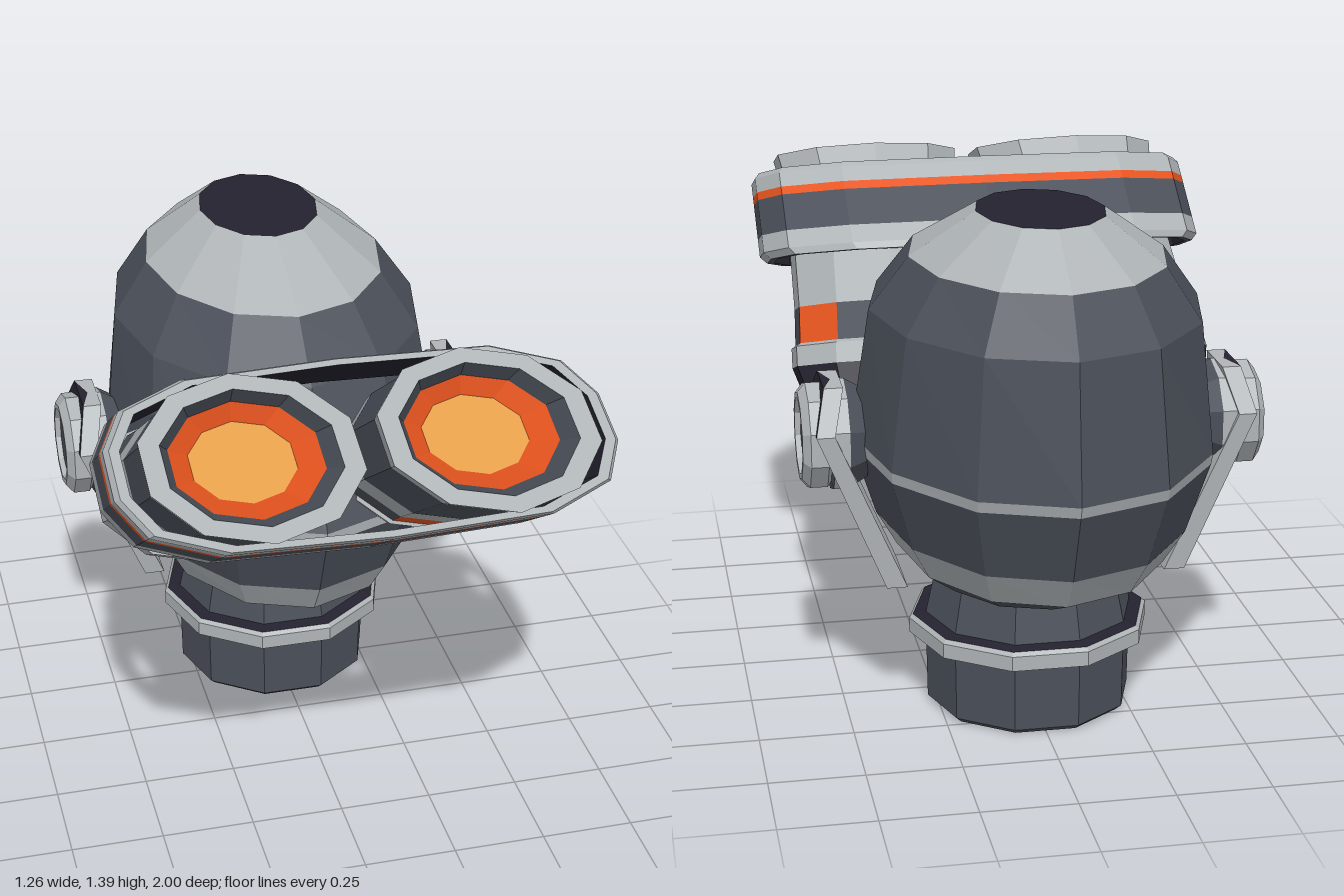
import * as THREE from 'three';

const mat = (name, color) => Object.assign(new THREE.MeshStandardMaterial({ color }), { name });

// Skins closed rings (listed centre-of-top outwards, then down) with flat faces,
// one mesh per colour; pick(i, j) names the colour of band i, side j.
function loft(name, rings, pick, mats) {
  const byColor = {};
  for (let i = 0; i < rings.length - 1; i++) {
    const n = rings[i].length;
    for (let j = 0; j < n; j++) {
      const k = (j + 1) % n;
      const a = rings[i][j], b = rings[i][k], c = rings[i + 1][k], d = rings[i + 1][j];
      const out = (byColor[pick(i, j)] ??= []);
      for (const tri of [[a, d, c], [a, c, b]]) {
        const [p, q, r] = tri;
        if (p.distanceTo(q) < 1e-5 || q.distanceTo(r) < 1e-5 || r.distanceTo(p) < 1e-5) continue;
        for (const v of tri) out.push(v.x, v.y, v.z);
      }
    }
  }
  const group = new THREE.Group();
  group.name = name;
  for (const [color, pos] of Object.entries(byColor)) {
    const g = new THREE.BufferGeometry();
    g.setAttribute('position', new THREE.Float32BufferAttribute(pos, 3));
    g.computeVertexNormals();
    const mesh = new THREE.Mesh(g, mats[color]);
    mesh.name = name + '_' + color;
    group.add(mesh);
  }
  return group;
}

const V = (x, y, z) => new THREE.Vector3(x, y, z);
const around = (n, f, offset = 0) =>
  Array.from({ length: n }, (_, j) => f(((j + offset) / n) * Math.PI * 2));
// Reflects rings to the other side, keeping faces outward
const mirrored = (rings) => rings.map((r) => r.map((p) => V(-p.x, p.y, p.z)).reverse());
// Goggle space: t runs down the slanted axis, u runs forward in the tilted lens plane
const goggle = (x, u, t) => V(x, 1.285 - 0.57 * t - 0.327 * u, 0.74 - 0.82 * t + 0.945 * u);

export function createModel() {
  const mats = {
    dark: mat('slate', 0x4b505a),
    gray: mat('light gray', 0xb0b5b8),
    black: mat('dark violet', 0x24222f),
    orange: mat('orange', 0xe8551f),
    amber: mat('amber glass', 0xe59f4a),
  };
  const model = new THREE.Group();
  model.name = 'gogglesHead';
  const add = (name, rings, pick) => model.add(loft(name, rings, pick, mats));

  // Egg-shaped helmet: y, half width, front z, back z, colour of the band below
  const head = [
    [1.39, 0, -0.475, -0.475, 'black'],
    [1.39, 0.165, -0.25, -0.7, 'gray'],
    [1.27, 0.33, 0.01, -0.87, 'dark'],
    [1.13, 0.43, 0.15, -0.957, 'dark'],
    [0.78, 0.475, 0.325, -1, 'gray'],
    [0.75, 0.472, 0.323, -0.99, 'dark'],
    [0.555, 0.41, 0.245, -0.91, 'gray'],
    [0.46, 0.355, 0.185, -0.84, 'dark'],
    [0.38, 0.26, 0, -0.66, 'dark'],
    [0.38, 0, -0.33, -0.33, 'dark'],
  ];
  add('helmet', head.map(([y, w, f, b]) => around(12, (a) =>
    V(w * Math.sin(a), y, (f + b) / 2 + ((f - b) / 2) * Math.cos(a)))), (i) => head[i][4]);

  // Neck with a flange: y, radius, colour of the band below
  const neck = [
    [0.42, 0, 'dark'], [0.42, 0.245, 'dark'], [0.26, 0.28, 'black'], [0.255, 0.315, 'gray'],
    [0.245, 0.325, 'gray'], [0.205, 0.325, 'gray'], [0.19, 0.28, 'dark'],
    [0.015, 0.277, 'dark'], [0, 0.26, 'dark'], [0, 0, 'dark'],
  ];
  add('neck', neck.map(([y, r]) => around(10, (a) =>
    V(r * Math.sin(a), y, -0.33 + r * Math.cos(a)), 0.5)), (i) => neck[i][2]);

  // Ear discs: x, radius, colour of the next band
  const ear = [
    [0.595, 0, 'dark'], [0.595, 0.098, 'gray'], [0.61, 0.103, 'gray'], [0.61, 0.118, 'gray'],
    [0.59, 0.143, 'gray'], [0.545, 0.143, 'gray'], [0.535, 0.128, 'dark'],
    [0.53, 0.15, 'gray'], [0.49, 0.15, 'dark'], [0.44, 0.12, 'dark'],
  ];
  const earRings = ear.map(([x, r]) => around(10, (a) =>
    V(x, 0.78 + r * Math.sin(a), -0.335 - r * Math.cos(a)), 0.5));

  // Slanted struts under the ears: y, inner x, outer x, front z, back z
  const strutRings = [
    [0.93, 0.525, 0.525, -0.34, -0.34],
    [0.93, 0.5, 0.55, -0.26, -0.42],
    [0.82, 0.53, 0.578, -0.175, -0.49],
    [0.385, 0.345, 0.4, -0.22, -0.455],
    [0.385, 0.37, 0.37, -0.34, -0.34],
  ].map(([y, xi, xo, f, b]) => [V(xi, y, f), V(xo, y, f), V(xo, y, b), V(xi, y, b)]);

  for (const s of [1, -1]) {
    const side = s > 0 ? 'left' : 'right';
    const flip = (rings) => (s > 0 ? rings : mirrored(rings));
    add(side + 'Ear', flip(earRings), (i) => ear[i][2]);
    add(side + 'Strut', flip(strutRings), (i, j) => (j === 1 ? 'black' : 'gray'));
  }

  // Eye tubes, from lens to pointed root: t, radius, centre x, colour of the next band
  const tube = [
    [0.13, 0, 0.295, 'amber'], [0.13, 0.135, 0.295, 'orange'], [0.07, 0.193, 0.295, 'dark'],
    [0, 0.222, 0.295, 'gray'], [0, 0.275, 0.295, 'gray'], [0.07, 0.265, 0.295, 'dark'],
    [0.1, 0.26, 0.295, 'dark'], [0.38, 0.26, 0.295, 'gray'], [0.58, 0.252, 0.31, 'checks'],
    [0.71, 0.252, 0.32, 'gray'], [0.72, 0.264, 0.32, 'gray'], [0.79, 0.258, 0.33, 'black'],
    [0.95, 0.2, 0.35, 'black'], [1.14, 0.1, 0.37, 'black'], [1.16, 0, 0.37, 'black'],
  ];
  for (const s of [1, -1]) {
    const rings = tube.map(([t, r, cx]) => around(10, (a) =>
      goggle(s * cx + r * Math.sin(a), r * Math.cos(a), t)));
    add(s > 0 ? 'leftEyeTube' : 'rightEyeTube', rings, (i, j) =>
      tube[i][3] === 'checks' ? (j % 2 ? 'orange' : 'dark') : tube[i][3]);
  }

  // Hollow housing around both tubes, open between them
  const half = [[0, 0.3], [0.4, 0.285], [0.57, 0.205], [0.63, 0.08],
    [0.63, -0.08], [0.57, -0.205], [0.4, -0.285], [0, -0.3]];
  const outline = [...half, ...half.slice(1, -1).reverse().map(([x, u]) => [-x, u])];
  // t, width scale, depth scale, colour of the next band
  const shell = [
    [0.4, 0.94, 0.91, 'black'], [0.07, 0.94, 0.91, 'gray'], [0.07, 0.98, 0.98, 'gray'],
    [0.09, 1, 1, 'gray'], [0.145, 1, 1, 'orange'], [0.175, 1, 1, 'dark'],
    [0.31, 1, 1, 'gray'], [0.375, 1, 1, 'gray'], [0.4, 0.97, 0.97, 'dark'],
    [0.4, 0.94, 0.91, 'dark'],
  ];
  add('goggleHousing', shell.map(([t, sx, su]) =>
    outline.map(([x, u]) => goggle(x * sx, u * su, t))), (i) => shell[i][3]);

  return model;
}
